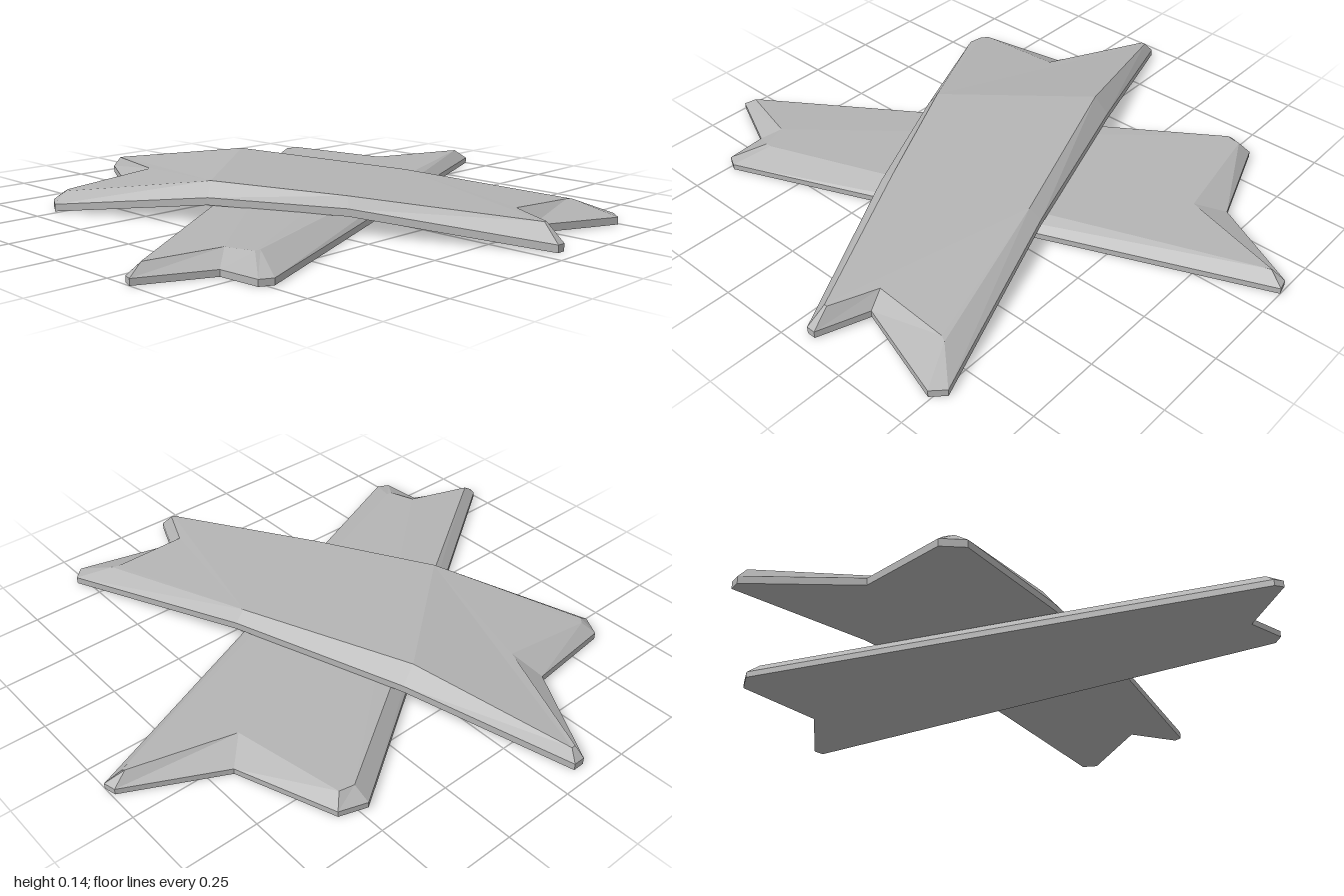
import * as THREE from 'three';

// Each rim point: [outer x, outer z, bevel x, bevel z, underside y, top y],
// listed clockwise as seen from above. Sections are the flat runs between bends.
function plank(name, rim, sections, lip, material) {
  const positions = [];
  const rings = [
    rim.map(p => [p[0], p[4], p[1]]),
    rim.map(p => [p[0], p[4] + lip, p[1]]),
    rim.map(p => [p[2], p[5], p[3]]),
  ];
  const tri = (a, b, c) => positions.push(...a, ...b, ...c);

  // Vertical lip and bevelled edge
  for (let r = 0; r < 2; r++) {
    for (let i = 0; i < rim.length; i++) {
      const j = (i + 1) % rim.length;
      const a0 = rings[r][i], b0 = rings[r][j], a1 = rings[r + 1][i], b1 = rings[r + 1][j];
      tri(b0, a0, a1);
      tri(b0, a1, b1);
    }
  }

  // Top and underside, one polygon per section
  const cap = (ring, up) => {
    for (const section of sections) {
      const pts = section.map(i => ring[i]);
      const flat = pts.map(p => new THREE.Vector2(p[0], p[2]));
      for (const [i, j, k] of THREE.ShapeUtils.triangulateShape(flat, [])) {
        const a = pts[i], b = pts[j], c = pts[k];
        const ny = (b[2] - a[2]) * (c[0] - a[0]) - (b[0] - a[0]) * (c[2] - a[2]);
        if ((ny > 0) === up) tri(a, b, c);
        else tri(a, c, b);
      }
    }
  };
  cap(rings[2], true);
  cap(rings[0], false);

  const geometry = new THREE.BufferGeometry();
  geometry.setAttribute('position', new THREE.Float32BufferAttribute(positions, 3));
  geometry.computeVertexNormals();
  const mesh = new THREE.Mesh(geometry, material);
  mesh.name = name;
  return mesh;
}

export function createModel() {
  const group = new THREE.Group();
  group.name = 'crossedPlanks';
  const grey = new THREE.MeshStandardMaterial({ color: 0xb4b4b4 });
  grey.name = 'grey';
  grey.flatShading = true;

  // Straight plank lying on the ground
  const lower = [
    [0.47, -0.66, 0.48, -0.61, 0, 0.06],
    [0.56, -0.63, 0.53, -0.6, 0, 0.06],
    [0.68, -0.3, 0.6, -0.22, 0, 0.06],
    [0.99, -0.14, 0.94, -0.125, 0, 0.055],
    [1.0, -0.1, 0.95, -0.12, 0, 0.055],
    [-0.73, 0.61, -0.67, 0.49, 0, 0.062],
    [-0.77, 0.59, -0.69, 0.49, 0, 0.062],
    [-0.78, 0.45, -0.72, 0.4, 0, 0.062],
    [-1.0, 0.35, -0.95, 0.335, 0, 0.053],
    [-0.99, 0.32, -0.94, 0.327, 0, 0.053],
  ];
  group.add(plank('lowerPlank', lower, [lower.map((_, i) => i)], 0.02, grey));

  // Plank bent over the lower one, both ends touching the ground
  const upper = [
    [-0.09, -0.95, -0.105, -0.92, 0, 0.06],
    [0.1, -0.41, 0.05, -0.4, 0.06, 0.14],
    [0.3, 0.19, 0.26, 0.2, 0.06, 0.115],
    [0.53, 0.85, 0.43, 0.76, 0, 0.072],
    [0.49, 0.89, 0.41, 0.75, 0, 0.074],
    [0.16, 0.79, 0.15, 0.74, 0.012, 0.085],
    [0.09, 0.95, 0.085, 0.89, 0, 0.08],
    [0.06, 0.95, 0.075, 0.89, 0, 0.08],
    [-0.22, 0.39, -0.19, 0.36, 0.06, 0.115],
    [-0.42, -0.03, -0.39, -0.05, 0.06, 0.132],
    [-0.67, -0.52, -0.62, -0.53, 0, 0.06],
    [-0.63, -0.59, -0.6, -0.55, 0, 0.06],
    [-0.31, -0.63, -0.27, -0.53, 0.012, 0.09],
    [-0.13, -0.95, -0.12, -0.92, 0, 0.06],
  ];
  const bends = [[0, 1, 9, 10, 11, 12, 13], [1, 2, 8, 9], [2, 3, 4, 5, 6, 7, 8]];
  group.add(plank('upperPlank', upper, bends, 0.024, grey));
  return group;
}
